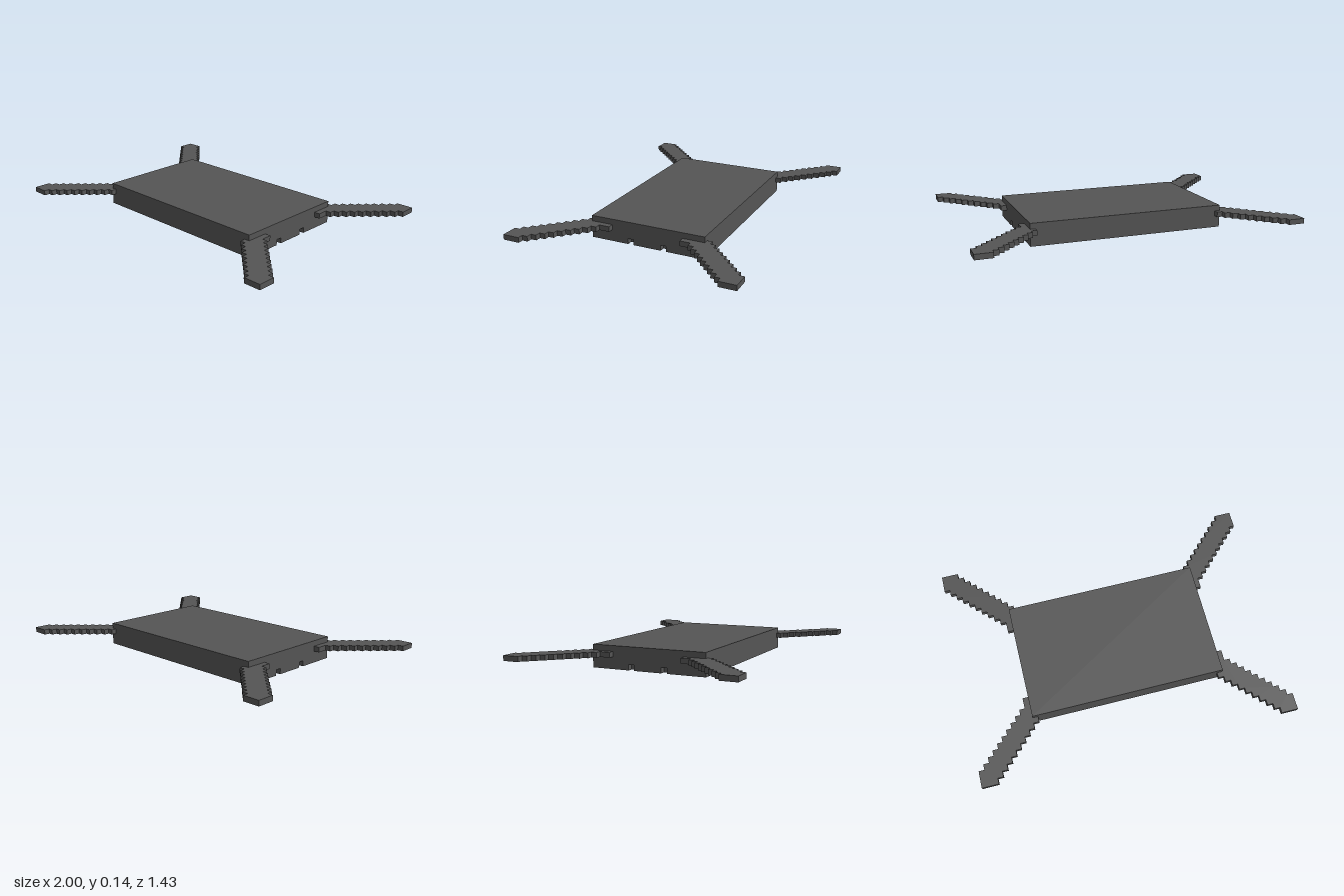
import * as THREE from 'three';

const STEP = 0.035; // size of one stair step
const HX = 0.613, HZ = 0.368, HEIGHT = 0.14; // body half sizes and height

// Flat slab with outline points [x, z], between heights y0 and y1
function slab(points, y0, y1) {
  const shape = new THREE.Shape(points.map(([x, z]) => new THREE.Vector2(x, z)));
  const geo = new THREE.ExtrudeGeometry(shape, { depth: y1 - y0, bevelEnabled: false });
  geo.rotateX(Math.PI / 2);
  geo.translate(0, y1, 0);
  return geo;
}

// Stair-stepped outline of the arm in the +x +z corner
function armOutline() {
  const pts = [[0.58, 0.23], [0.58, 0.402]];
  for (let i = 9; i > 0; i--) {
    const x = 0.895 - (i - 1) * STEP, z = 0.717 - i * STEP;
    pts.push([x, z], [x, z + STEP]);
  }
  pts.push([1, 0.717]);
  for (let i = 0; i < 10; i++) {
    const x = 1 - i * STEP, z = 0.612 - i * STEP;
    pts.push([x, z], [x - STEP, z]);
  }
  pts.push([1 - 10 * STEP, 0.23]);
  return pts;
}

// Body footprint with two small notches in each end
function notchedOutline() {
  const half = 0.018, inner = HX - STEP;
  const end = [[HX, -HZ]];
  for (const z of [-0.107, 0.107]) {
    end.push([HX, z - half], [inner, z - half], [inner, z + half], [HX, z + half]);
  }
  end.push([HX, HZ]);
  return [...end, ...end.map(([x, z]) => [-x, -z])];
}

export function createModel() {
  const model = new THREE.Group();
  model.name = 'model';
  const grey = new THREE.MeshStandardMaterial({ color: 0x555555 });
  grey.name = 'dark grey';

  const add = (geo, name) => {
    const mesh = new THREE.Mesh(geo, grey);
    mesh.name = name;
    model.add(mesh);
  };

  // Body: solid upper block on a thin notched base
  const block = new THREE.BoxGeometry(2 * HX, HEIGHT - STEP, 2 * HZ);
  block.translate(0, (HEIGHT + STEP) / 2, 0);
  add(block, 'bodyBlock');
  add(slab(notchedOutline(), 0, STEP), 'notchedBase');

  // Four mirrored diagonal arms
  const outline = armOutline();
  for (const [sx, side] of [[1, 'Left'], [-1, 'Right']]) {
    for (const [sz, end] of [[1, 'front'], [-1, 'back']]) {
      add(slab(outline.map(([x, z]) => [x * sx, z * sz]), 0.073, 0.105), `${end}${side}Arm`);
    }
  }
  return model;
}
